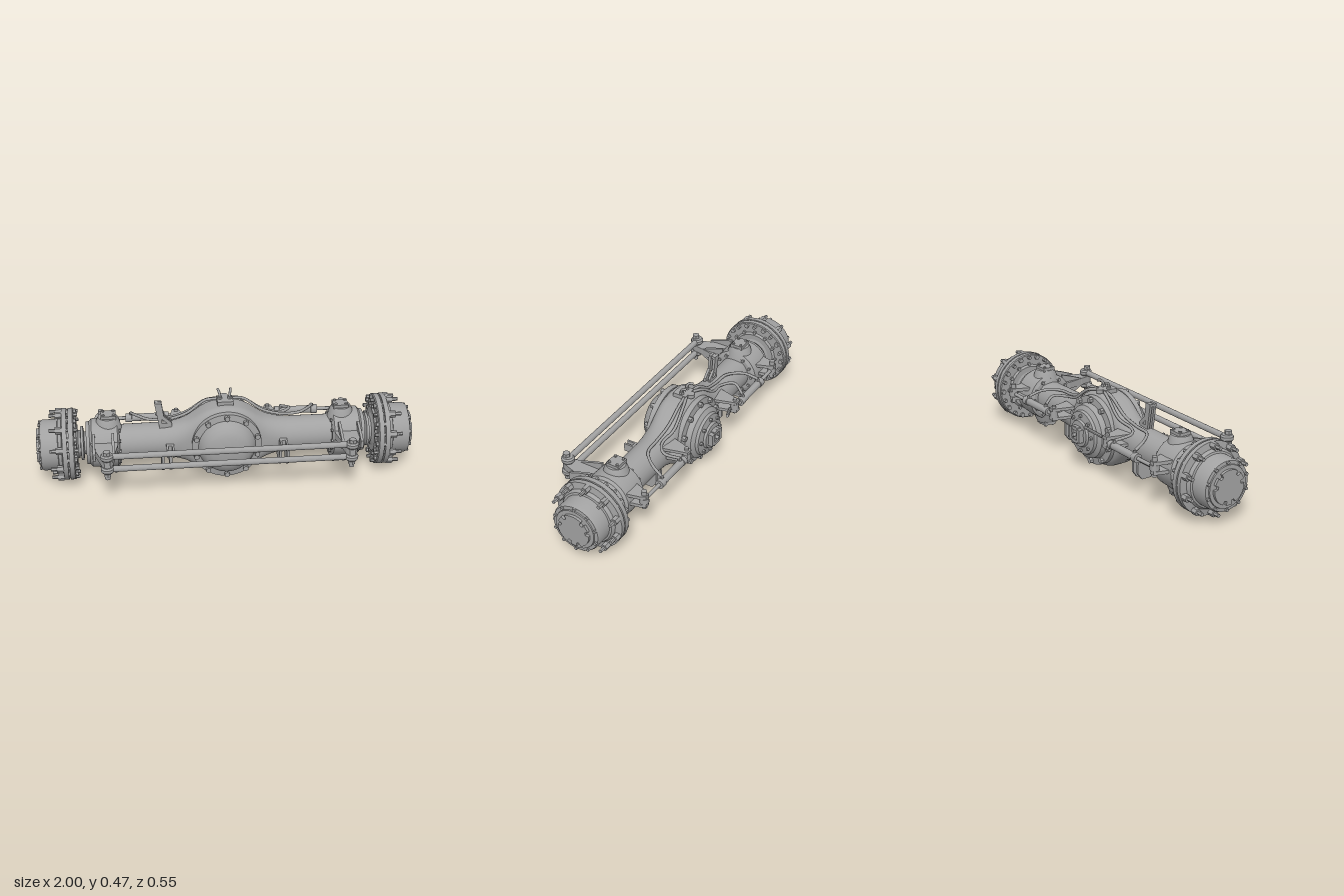
import * as THREE from 'three';
import { toCreasedNormals } from 'three/addons/utils/BufferGeometryUtils.js';

const V = (x, y, z) => new THREE.Vector3(x, y, z);
const CY = 0.205, CZ = -0.045; // axle centre line
const UP = V(0, 1, 0);

export function createModel() {
  const root = new THREE.Group();
  root.name = 'steeringAxle';
  const steel = new THREE.MeshStandardMaterial({ color: 0xa2a2a2 });

  const add = (name, geo) => {
    const m = new THREE.Mesh(geo, steel);
    m.name = name;
    root.add(m);
    return m;
  };
  // turned part: [radius, distance] pairs along a direction
  const turned = (name, pos, dir, pts, seg = 48) => {
    const g = new THREE.LatheGeometry(pts.map(p => new THREE.Vector2(p[0], p[1])), seg);
    const m = add(name, toCreasedNormals(g, 0.5));
    m.quaternion.setFromUnitVectors(UP, dir);
    m.position.copy(pos);
    return m;
  };
  const rod = (name, a, b, r, seg = 20) => {
    const d = b.clone().sub(a), len = d.length();
    return turned(name, a, d.normalize(), [[0, 0], [r, 0], [r, len], [0, len]], seg);
  };
  const box = (name, w, h, d, x, y, z) => {
    const m = add(name, new THREE.BoxGeometry(w, h, d));
    m.position.set(x, y, z);
    return m;
  };
  // flat plate from an outline; plane 'xz' has its top at p, 'zy' its +x side at p, 'xy' its back at p
  const plate = (name, plane, outline, depth, p, hole) => {
    const shape = new THREE.Shape(outline.map(q => new THREE.Vector2(q[0], q[1])));
    if (hole) shape.holes.push(new THREE.Path(hole.map(q => new THREE.Vector2(q[0], q[1]))));
    const g = new THREE.ExtrudeGeometry(shape, { depth, bevelEnabled: false });
    if (plane === 'xz') g.rotateX(Math.PI / 2).translate(0, p, 0);
    else if (plane === 'zy') g.rotateY(-Math.PI / 2).translate(p, 0, 0);
    else g.translate(0, 0, p);
    return add(name, g);
  };
  const hose = (name, pts, r = 0.008) =>
    add(name, new THREE.TubeGeometry(new THREE.CatmullRomCurve3(pts), 40, r, 8));
  // ring of hex bolts around the x or z axis
  const boltRing = (name, n, R, r, dir, from, len, phase = 0) => {
    for (let i = 0; i < n; i++) {
      const a = phase + i / n * Math.PI * 2, u = R * Math.sin(a), v = CY + R * Math.cos(a);
      const p = Math.abs(dir.x) > 0.5 ? V(dir.x * from, v, CZ + u) : V(u, v, from);
      rod(name, p, p.clone().addScaledVector(dir, len), r, 6);
    }
  };

  // beam with banjo bulge: superellipse sections along x
  const half = [[0, 0.203], [0.035, 0.2], [0.07, 0.194], [0.1, 0.184], [0.13, 0.168], [0.16, 0.148],
    [0.19, 0.129], [0.22, 0.115], [0.27, 0.101], [0.33, 0.094], [0.6, 0.092]];
  const stations = [...half.slice(1).reverse().map(([x, h]) => [-x, h]), ...half];
  const N = 48, pos = [], idx = [];
  stations.forEach(([x, h], i) => {
    const e = 2 / (2 + 2.5 * Math.min(1, Math.max(0, (h - 0.094) / 0.1)));
    for (let j = 0; j < N; j++) {
      const a = j / N * Math.PI * 2, c = Math.cos(a), s = Math.sin(a);
      pos.push(x, CY + h * Math.sign(c) * Math.abs(c) ** e, CZ + 0.088 * Math.sign(s) * Math.abs(s) ** e);
      if (i < stations.length - 1) {
        const k = (j + 1) % N, p = i * N, q = p + N;
        idx.push(p + j, p + k, q + j, p + k, q + k, q + j);
      }
    }
  });
  const beam = new THREE.BufferGeometry();
  beam.setAttribute('position', new THREE.Float32BufferAttribute(pos, 3));
  beam.setIndex(idx);
  beam.computeVertexNormals();
  add('axleBeam', beam);

  // differential covers and pinion
  const front = V(0, 0, 1), back = V(0, 0, -1);
  turned('frontCover', V(0, CY, 0), front, [[0, 0.03], [0.186, 0.03], [0.186, 0.06], [0.152, 0.066], [0.145, 0.08],
    [0.135, 0.1], [0.115, 0.12], [0.085, 0.133], [0.045, 0.14], [0, 0.142]], 64);
  boltRing('frontCoverBolt', 10, 0.17, 0.015, front, 0.055, 0.025);
  turned('rearCover', V(0, CY, 0), back, [[0, 0.12], [0.186, 0.12], [0.186, 0.15], [0.15, 0.155], [0.143, 0.185],
    [0.12, 0.2], [0.115, 0.215], [0.075, 0.222], [0.07, 0.235], [0.045, 0.238], [0.045, 0.256], [0, 0.256]], 64);
  boltRing('rearCoverBolt', 10, 0.17, 0.015, back, -0.145, 0.025);
  boltRing('pinionBolt', 8, 0.095, 0.01, back, -0.21, 0.02);
  rod('pinionShaft', V(0, CY, -0.24), V(0, CY, -0.275), 0.01);
  for (const s of [-1, 1]) {
    box('pinionYoke', 0.025, 0.07, 0.03, s * 0.035, CY, -0.248);
    box('yokeCap', 0.05, 0.018, 0.024, 0, CY + s * 0.035, -0.25);
  }
  const lever = rod('pinionLever', V(-0.1, 0.28, -0.265), V(-0.2, 0.25, -0.225), 0.009, 8);
  lever.name = 'lockLever';

  // breather block with two bent pipes
  box('breatherBlock', 0.085, 0.035, 0.075, 0, 0.408, -0.055);
  rod('breatherCap', V(0, 0.405, -0.1), V(0, 0.425, -0.1), 0.02);
  for (const s of [-1, 1]) {
    rod('breatherFitting', V(s * 0.026, 0.42, -0.06), V(s * 0.026, 0.438, -0.06), 0.013, 6);
    hose('breatherPipe', [V(s * 0.026, 0.42, -0.06), V(s * 0.026, 0.445, -0.06),
      V(s * 0.03, 0.46, -0.072), V(s * 0.034, 0.463, -0.096)], 0.007);
  }

  // upright bracket on the beam
  for (const z of [-0.024, -0.05])
    plate('topBracket', 'xy', [[-0.375, 0.437], [-0.337, 0.437], [-0.327, 0.36], [-0.285, 0.32], [-0.285, 0.285], [-0.35, 0.285]],
      0.014, z, [[-0.338, 0.345], [-0.31, 0.318], [-0.338, 0.318]]);
  box('bracketSpacer', 0.03, 0.014, 0.03, -0.356, 0.428, -0.03);

  for (const s of [-1, 1]) {
    const out = V(s, 0, 0), axis = V(0, CY, CZ);
    // wheel hub with double flange
    turned('wheelHub', axis, out, [[0, 0.79], [0.12, 0.79], [0.135, 0.805], [0.135, 0.965], [0.129, 0.978],
      [0.112, 0.98], [0.11, 0.986], [0, 0.986]], 64);
    turned('innerFlange', axis, out, [[0.1, 0.8], [0.185, 0.8], [0.19, 0.805], [0.19, 0.83], [0.1, 0.832]], 64);
    turned('outerFlange', axis, out, [[0.1, 0.838], [0.19, 0.838], [0.19, 0.862], [0.155, 0.868], [0.145, 0.885], [0.13, 0.89]], 64);
    boltRing('wheelStud', 10, 0.174, 0.01, out, 0.78, 0.148);
    boltRing('wheelNut', 10, 0.174, 0.019, out, 0.862, 0.035);
    boltRing('studHead', 10, 0.174, 0.014, out, 0.787, 0.055, 0.31);
    boltRing('hubBolt', 10, 0.122, 0.009, out, 0.975, 0.014);
    boltRing('sealBolt', 12, 0.135, 0.01, out, 0.788, 0.02);
    // notched end cap
    const notches = [10, 50, 130, 170, 252, 288], cap = [];
    for (let d = 0; d < 360; d += 2) {
      const n = notches.some(a => Math.abs(a - d) <= 6);
      const a = d * Math.PI / 180, r = n ? 0.07 : 0.09;
      cap.push([CZ + r * Math.cos(a), CY + r * Math.sin(a)]);
    }
    plate('hubCap', 'zy', cap, 0.018, s > 0 ? 1 : -0.982);
    // joint between hub and knuckle
    turned('jointCone', axis, out, [[0, 0.72], [0.06, 0.72], [0.06, 0.75], [0.09, 0.755], [0.09, 0.768],
      [0.068, 0.77], [0.072, 0.782], [0.115, 0.8], [0, 0.8]]);
    // knuckle housing and kingpins
    turned('knuckleHousing', axis, out, [[0, 0.565], [0.11, 0.565], [0.128, 0.575], [0.132, 0.65], [0.128, 0.71],
      [0.115, 0.722], [0.112, 0.74], [0, 0.74]]);
    boltRing('housingBolt', 12, 0.108, 0.009, V(-s, 0, 0), -0.575, 0.018);
    for (const u of [-1, 1]) {
      turned('kingpinBoss', V(s * 0.622, CY, CZ), V(0, u, 0), [[0, 0.08], [0.075, 0.08], [0.06, 0.135], [0.05, 0.155], [0, 0.155]], 24);
      box('kingpinCap', 0.08, 0.022, 0.07, s * 0.618, CY + u * 0.16, CZ);
      for (const dx of [-0.027, 0.027]) for (const dz of [-0.023, 0.023])
        rod('capBolt', V(s * (0.618 + dx), CY + u * 0.168, CZ + dz), V(s * (0.618 + dx), CY + u * 0.178, CZ + dz), 0.008, 6);
    }
    // front steering arm, gussets and tie rod pin
    plate('steeringArm', 'xz', [[s * 0.735, 0], [s * 0.712, 0.09], [s * 0.663, 0.24], [s * 0.65, 0.262], [s * 0.62, 0.262],
      [s * 0.606, 0.24], [s * 0.574, 0.09], [s * 0.574, 0]], 0.038, 0.264);
    for (const x of [0.6, 0.7])
      plate('armGusset', 'zy', [[0.05, 0.31], [0.12, 0.288], [0.185, 0.264], [0.185, 0.226], [0.13, 0.195], [0.05, 0.17]],
        0.014, s * x + 0.007);
    rod('tieRodPin', V(s * 0.635, 0.155, 0.248), V(s * 0.635, 0.315, 0.248), 0.014);
    rod('pinHead', V(s * 0.635, 0.298, 0.248), V(s * 0.635, 0.316, 0.248), 0.02, 6);
    rod('pinNut', V(s * 0.635, 0.172, 0.248), V(s * 0.635, 0.19, 0.248), 0.019, 6);
    for (const y of [0.28, 0.207])
      turned('tieRodEnd', V(s * 0.635, y, 0.24), UP, [[0, -0.017], [0.027, -0.017], [0.034, -0.008],
        [0.034, 0.008], [0.027, 0.017], [0, 0.017]], 28);

    // rear arm and steering cylinder
    for (const y of [0.272, 0.222])
      plate('rearArm', 'xz', [[s * 0.715, -0.1], [s * 0.685, -0.225], [s * 0.672, -0.25], [s * 0.645, -0.25],
        [s * 0.632, -0.225], [s * 0.585, -0.1]], 0.018, y);
    rod('rearArmPin', V(s * 0.658, 0.19, -0.232), V(s * 0.658, 0.295, -0.232), 0.014);
    rod('cylinderEye', V(s * 0.658, 0.224, -0.232), V(s * 0.658, 0.254, -0.232), 0.024);
    rod('pistonRod', V(s * 0.65, 0.239, -0.232), V(s * 0.5, 0.239, -0.234), 0.01);
    turned('steeringCylinder', V(0, 0.239, -0.234), out, [[0, 0.29], [0.023, 0.29], [0.023, 0.315], [0.02, 0.317],
      [0.02, 0.49], [0.024, 0.492], [0.024, 0.525], [0, 0.525]], 24);
    rod('cylinderTail', V(s * 0.3, 0.239, -0.234), V(s * 0.25, 0.239, -0.228), 0.012);
    rod('tailEye', V(s * 0.25, 0.222, -0.226), V(s * 0.25, 0.256, -0.226), 0.022);
    rod('tailPin', V(s * 0.25, 0.195, -0.226), V(s * 0.25, 0.285, -0.226), 0.011);
    for (const y of [0.272, 0.222])
      plate('cylinderMount', 'xz', [[s * 0.31, -0.09], [s * 0.27, -0.245], [s * 0.235, -0.245], [s * 0.19, -0.09]], 0.016, y);
    for (const x of [0.325, 0.495])
      rod('hosePort', V(s * x, 0.25, -0.234), V(s * x, 0.272, -0.23), 0.01, 6);

    // hydraulic hoses
    hose('longHose', [V(s * 0.03, 0.415, -0.08), V(s * 0.1, 0.405, -0.09), V(s * 0.2, 0.335, -0.085), V(s * 0.3, 0.306, -0.08),
      V(s * 0.4, 0.303, -0.09), V(s * 0.47, 0.295, -0.16), V(s * 0.495, 0.27, -0.23)]);
    hose('shortHose', [V(s * 0.03, 0.415, -0.09), V(s * 0.1, 0.395, -0.11), V(s * 0.2, 0.325, -0.12), V(s * 0.3, 0.3, -0.11),
      V(s * 0.36, 0.295, -0.16), V(s * 0.325, 0.27, -0.23)]);

    // mounting lugs below and in front of the beam
    for (const x of [0.296, 0.338])
      plate('lowerLug', 'zy', [[-0.1, 0.15], [-0.1, 0.06], [-0.075, 0.026], [-0.02, 0.026], [0.01, 0.06], [0.01, 0.15]],
        0.014, s * x + 0.007);
    for (const x of [0.286, 0.316])
      box('frontLug', 0.01, 0.045, 0.09, s * x, 0.2, 0.065);
    box('frontLugBase', 0.04, 0.045, 0.04, s * 0.301, 0.2, 0.045);
  }

  // twin tie rods
  for (const y of [0.28, 0.207]) rod('tieRod', V(-0.625, y, 0.238), V(0.625, y, 0.238), 0.016);

  return root;
}
